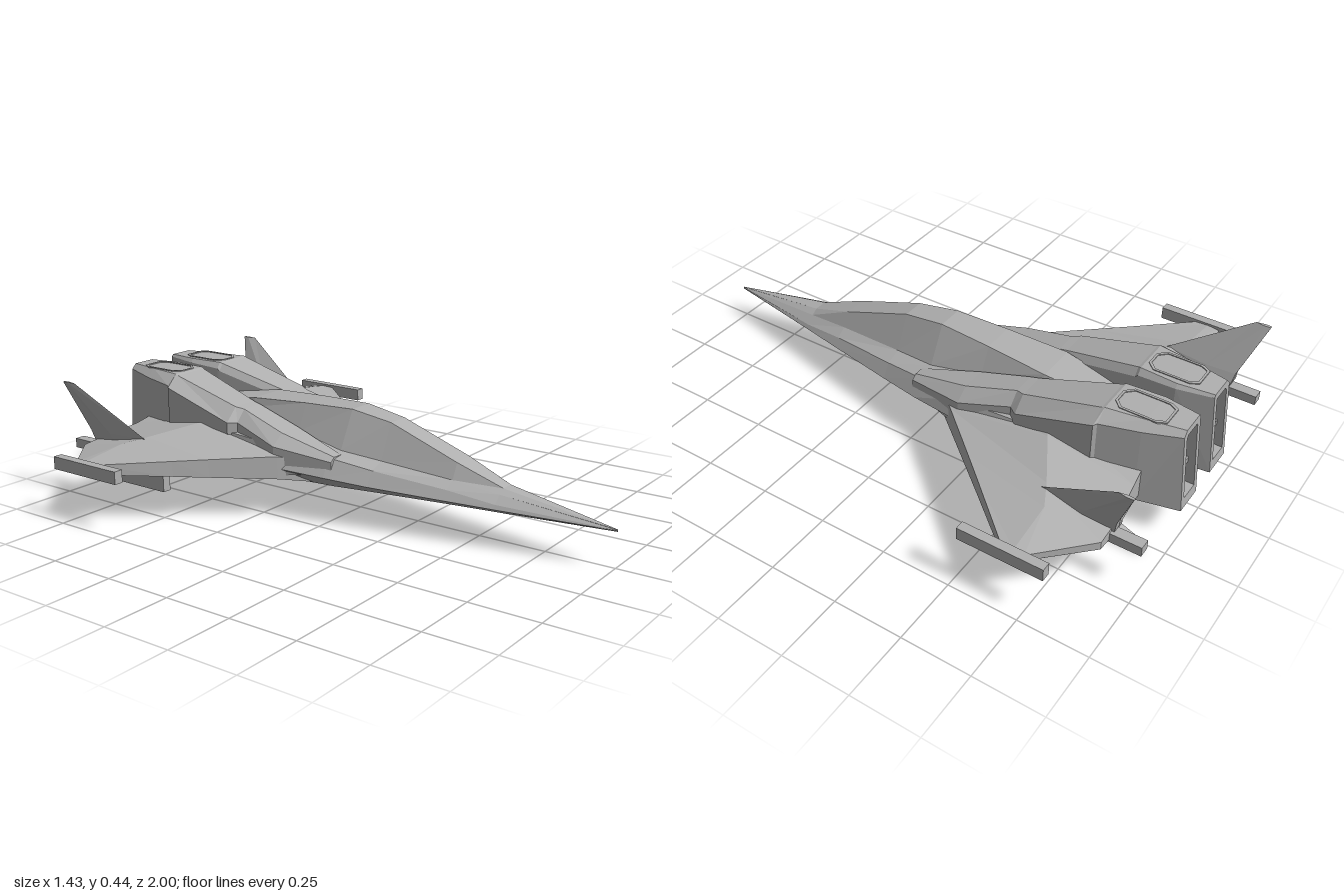
import * as THREE from 'three';

const hull = new THREE.MeshStandardMaterial({ color: 0xb0b0b0 });
hull.name = 'hull grey';
hull.flatShading = true;

// Skin a row of matching cross-sections, close both ends, and turn faces outwards
function loft(sections) {
  const tris = [];
  const n = sections[0].length;
  for (let s = 0; s < sections.length - 1; s++) {
    const a = sections[s], b = sections[s + 1];
    for (let i = 0; i < n; i++) {
      const j = (i + 1) % n;
      tris.push([a[i], a[j], b[j]], [a[i], b[j], b[i]]);
    }
  }
  const cap = (ring, flip) => {
    const c = [0, 1, 2].map(k => ring.reduce((sum, p) => sum + p[k], 0) / n);
    ring.forEach((p, i) => {
      const q = ring[(i + 1) % n];
      tris.push(flip ? [c, q, p] : [c, p, q]);
    });
  };
  cap(sections[0], true);
  cap(sections[sections.length - 1], false);
  let volume = 0;
  for (const [a, b, c] of tris) {
    volume += a[0] * (b[1] * c[2] - b[2] * c[1]) + a[1] * (b[2] * c[0] - b[0] * c[2]) + a[2] * (b[0] * c[1] - b[1] * c[0]);
  }
  const pos = tris.flatMap(([a, b, c]) => (volume < 0 ? [a, c, b] : [a, b, c])).flat();
  const g = new THREE.BufferGeometry();
  g.setAttribute('position', new THREE.Float32BufferAttribute(pos, 3));
  g.computeVertexNormals();
  return g;
}

function part(group, name, geometry, x = 0, y = 0, z = 0) {
  const mesh = new THREE.Mesh(geometry, hull);
  mesh.name = name;
  mesh.position.set(x, y, z);
  group.add(mesh);
  return mesh;
}

// Fuselage half-sections: z, then [x, y] of keel edge, chine, shoulder, canopy base, spine top
function fuselage() {
  const rows = [
    [1.0, [0.001, 0.125], [0.002, 0.128], [0.002, 0.13], [0.001, 0.131], [0.001, 0.132]],
    [0.6, [0.065, 0.125], [0.088, 0.14], [0.08, 0.155], [0.05, 0.182], [0.025, 0.197]],
    [0.43, [0.09, 0.125], [0.127, 0.147], [0.108, 0.18], [0.07, 0.205], [0.043, 0.26]],
    [0.16, [0.135, 0.125], [0.187, 0.158], [0.158, 0.21], [0.1, 0.23], [0.042, 0.355]],
    [0.0, [0.165, 0.125], [0.225, 0.17], [0.19, 0.235], [0.12, 0.245], [0.05, 0.38]],
    [-0.2, [0.185, 0.125], [0.257, 0.18], [0.235, 0.255], [0.105, 0.28], [0.062, 0.375]],
    [-0.43, [0.19, 0.125], [0.25, 0.18], [0.235, 0.27], [0.085, 0.33], [0.076, 0.363]],
    [-0.86, [0.19, 0.125], [0.22, 0.17], [0.19, 0.25], [0.04, 0.27], [0.03, 0.3]],
  ];
  return loft(rows.map(([z, ...half]) => [
    ...half.map(([x, y]) => [x, y, z]),
    ...half.slice().reverse().map(([x, y]) => [-x, y, z]),
  ]));
}

// Engine nacelle: eight-sided sections that end in a recessed exhaust
function nacelle(s) {
  const ring = (z, xi, xo, yb, ym, yt, c, rake = 0) => [
    [xi, yb], [xo, yb], [xo, ym], [xo - c, yt], [xi + c * 0.35, yt], [xi, yt - c * 0.5],
  ].map(([x, y]) => [s * x, y, z + rake * (y - 0.12)]);
  return loft([
    ring(0.02, 0.14, 0.205, 0.18, 0.225, 0.24, 0.02),
    ring(-0.2, 0.09, 0.252, 0.15, 0.255, 0.295, 0.05),
    ring(-0.39, 0.08, 0.222, 0.14, 0.305, 0.348, 0.04),
    ring(-0.42, 0.075, 0.245, 0.14, 0.305, 0.355, 0.05),
    ring(-0.705, 0.035, 0.25, 0.125, 0.395, 0.432, 0.055),
    ring(-0.715, 0.034, 0.24, 0.125, 0.4, 0.436, 0.045),
    ring(-0.85, 0.03, 0.205, 0.122, 0.405, 0.436, 0.03),
    ring(-1.0, 0.052, 0.167, 0.12, 0.415, 0.434, 0.018, 0.08),
    ring(-1.0, 0.072, 0.147, 0.16, 0.4, 0.41, 0.01, 0.08),
    ring(-0.9, 0.072, 0.147, 0.16, 0.4, 0.41, 0.01),
  ]);
}

// Wing sections: x, leading z, trailing z, then heights of bottom, leading, ridge and trailing tops
function wing(s) {
  return loft([
    [0.16, -0.06, -0.86, 0.126, 0.2, 0.3, 0.26],
    [0.26, -0.17, -0.87, 0.143, 0.225, 0.285, 0.235],
    [0.42, -0.35, -0.89, 0.157, 0.222, 0.255, 0.215],
    [0.505, -0.445, -0.89, 0.165, 0.22, 0.243, 0.205],
    [0.688, -0.648, -0.73, 0.181, 0.216, 0.218, 0.214],
  ].map(([x, zl, zt, yb, yl, yr, yt]) => [
    [yb, 0], [yl, 0.01], [yr, 0.55], [yt, 1], [yb + 0.01, 1], [yb, 0.85],
  ].map(([y, t]) => [s * x, y, zl + (zt - zl) * t])));
}

// Raised rim on top of each nacelle
function hatchRim() {
  const octagon = (Type, w, h, c) => new Type([
    [-w + c, -h], [w - c, -h], [w, -h + c], [w, h - c], [w - c * 0.6, h], [-w + c * 0.6, h], [-w, h - c], [-w, -h + c],
  ].map(([x, y]) => new THREE.Vector2(x, y)));
  const shape = octagon(THREE.Shape, 0.056, 0.093, 0.028);
  shape.holes.push(octagon(THREE.Path, 0.048, 0.085, 0.025));
  return new THREE.ExtrudeGeometry(shape, { depth: 0.005, bevelEnabled: false }).rotateX(-Math.PI / 2);
}

// Canted fin, tapering to a swept-back tip
function fin(s) {
  const ring = (y, x, zf, zb, t) => [
    [x, zf], [x + t, zf + (zb - zf) * 0.6], [x + t * 0.7, zb], [x - t * 0.7, zb], [x - t, zf + (zb - zf) * 0.6],
  ].map(([px, z]) => [s * px, y, z]);
  return loft([ring(0.2, 0.425, -0.6, -0.9, 0.022), ring(0.25, 0.44, -0.64, -0.91, 0.02), ring(0.432, 0.506, -0.925, -0.98, 0.006)]);
}

// Landing skid with a sloping tail
function skid(s) {
  return loft([[-0.7, 0.07], [-0.83, 0.07], [-0.93, 0.028]].map(([z, top]) => [
    [0.267, 0], [0.302, 0], [0.302, top], [0.267, top],
  ].map(([x, y]) => [s * x, y, z])));
}

export function createModel() {
  const model = new THREE.Group();
  model.name = 'spacecraft';
  part(model, 'fuselage', fuselage());

  for (const s of [1, -1]) {
    const side = new THREE.Group();
    side.name = s > 0 ? 'leftSide' : 'rightSide';
    model.add(side);
    const box = (name, w, h, d, x, y, z) => part(side, name, new THREE.BoxGeometry(w, h, d), s * x, y, z);

    part(side, 'wing', wing(s));
    box('wingTipPod', 0.034, 0.046, 0.305, 0.7, 0.203, -0.66);
    part(side, 'tailFin', fin(s));
    box('tailPeg', 0.04, 0.035, 0.14, 0.432, 0.18, -0.93);

    // Engine
    part(side, 'nacelle', nacelle(s));
    part(side, 'hatchRim', hatchRim(), s * 0.117, 0.434, -0.818);
    box('exhaustShelf', 0.074, 0.02, 0.07, 0.11, 0.255, -0.93);
    const nozzle = part(side, 'exhaustNozzle', new THREE.CylinderGeometry(0.026, 0.03, 0.06, 8), s * 0.11, 0.205, -0.925);
    nozzle.rotation.x = Math.PI / 2;

    // Landing gear
    part(side, 'skid', skid(s));
    box('skidPlate', 0.028, 0.012, 0.15, 0.284, 0.076, -0.775);
    for (const z of [-0.718, -0.748]) {
      const strut = part(side, 'strut', new THREE.CylinderGeometry(0.009, 0.009, 0.1, 6), s * 0.281, 0.112, z);
      strut.rotation.z = s * 0.15;
    }
  }
  return model;
}
